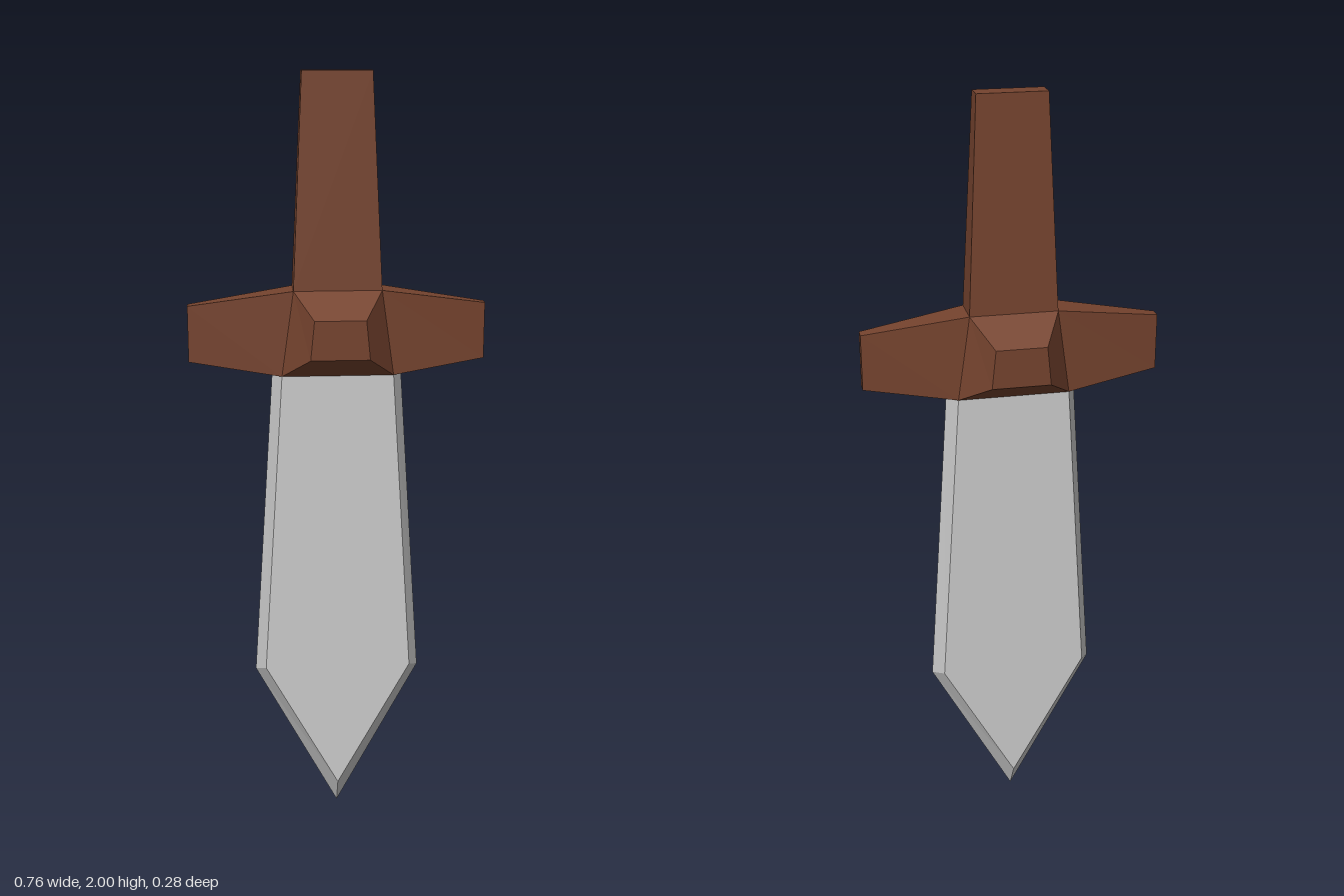
import * as THREE from 'three';

const wood = new THREE.MeshStandardMaterial({ name: 'brown wood', color: 0x75432e });
const steel = new THREE.MeshStandardMaterial({ name: 'grey steel', color: 0xcccccc });

// Flat-faced solid through rings of points, each counter-clockwise seen from the last ring's side
function loft(name, material, rings) {
  const pos = [];
  const tri = (a, b, c) => pos.push(...a, ...b, ...c);
  const n = rings[0].length;
  for (let r = 0; r < rings.length - 1; r++) {
    for (let i = 0; i < n; i++) {
      const j = (i + 1) % n, lo = rings[r], hi = rings[r + 1];
      tri(lo[i], lo[j], hi[j]);
      tri(lo[i], hi[j], hi[i]);
    }
  }
  const first = rings[0], last = rings[rings.length - 1];
  for (let i = 1; i < n - 1; i++) {
    tri(first[0], first[i + 1], first[i]);
    tri(last[0], last[i], last[i + 1]);
  }
  const geometry = new THREE.BufferGeometry();
  geometry.setAttribute('position', new THREE.Float32BufferAttribute(pos, 3));
  geometry.computeVertexNormals();
  const mesh = new THREE.Mesh(geometry, material);
  mesh.name = name;
  return mesh;
}

// Rectangular rings facing +y, +x and +z
const ringY = (y, x, z) => [[-x, y, z], [x, y, z], [x, y, -z], [-x, y, -z]];
const ringX = (xLow, xHigh, low, high, z) =>
  [[xLow, low, z], [xLow, low, -z], [xHigh, high, -z], [xHigh, high, z]];
const ringZ = (z, xLow, xHigh, low, high) =>
  [[-xLow, low, z], [xLow, low, z], [xHigh, high, z], [-xHigh, high, z]];

// Blade outline: tip, shoulders, root
const bladeRing = (z, tip, shoulderX, shoulderY, rootX) => [
  [0, tip, z], [shoulderX, shoulderY, z], [rootX, 1.24, z],
  [-rootX, 1.24, z], [-shoulderX, shoulderY, z],
];

export function createModel() {
  const group = new THREE.Group();
  group.name = 'dagger';

  // Blade with bevelled cutting edges
  group.add(loft('blade', steel, [
    bladeRing(-0.047, 0.08, 0.195, 0.43, 0.144),
    bladeRing(0, 0, 0.222, 0.41, 0.168),
    bladeRing(0.047, 0.08, 0.195, 0.43, 0.144),
  ]));

  // Tapered grip and guard block
  group.add(loft('grip', wood, [ringY(1.46, 0.113, 0.047), ringY(2, 0.088, 0.027)]));
  group.add(loft('guardCore', wood, [ringY(1.24, 0.144, 0.047), ringY(1.46, 0.113, 0.047)]));

  // Guard arms and bosses, repeated by a half turn
  for (const [side, face, turn] of [['left', 'front', 0], ['right', 'back', Math.PI]]) {
    const arm = loft(side + 'GuardArm', wood, [
      ringX(0.144, 0.113, 1.24, 1.46, 0.047),
      ringX(0.382, 0.382, 1.275, 1.42, 0.016),
    ]);
    const boss = loft(face + 'GuardBoss', wood, [
      ringZ(0.047, 0.144, 0.113, 1.24, 1.46),
      ringZ(0.139, 0.075, 0.065, 1.3, 1.4),
    ]);
    arm.rotation.y = boss.rotation.y = turn;
    group.add(arm, boss);
  }
  return group;
}
